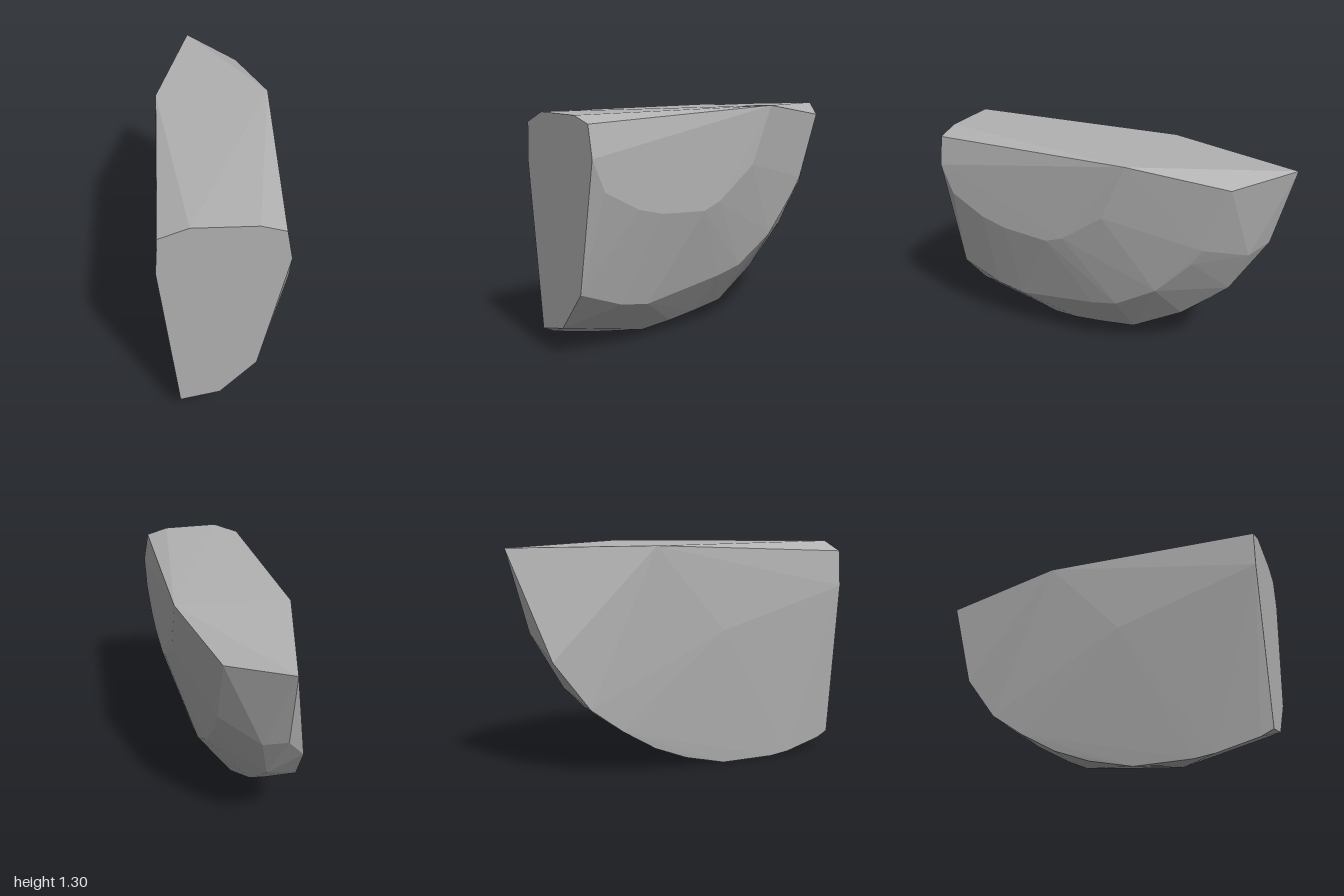
import * as THREE from 'three';
import { ConvexGeometry } from 'three/addons/geometries/ConvexGeometry.js';

// Corner points of the chipped stone, grouped by zone: [x, y, z]
const frontRim = [
  [-0.305, 1.24, 1], [-0.155, 1.3, 1], [0.165, 1.3, 1], [0.29, 1.265, 1], [0.32, 1.1, 1],
  [0.175, 0.39, 1], [-0.015, 0.165, 1], [-0.225, 0.11, 1], [-0.32, 1.03, 1],
];
const topRim = [
  [0.315, 1.305, -0.2], [0.17, 1.22, -0.74], [-0.125, 1.27, -1], [-0.32, 1.28, -0.22],
];
const leftBulge = [
  [0.32, 0.93, 0.93], [0.32, 0.82, 0.73], [0.32, 0.78, 0.58],
  [0.32, 0.76, 0.3], [0.32, 0.8, 0.19], [0.315, 0.98, -0.06],
];
const lowerBulge = [
  [0.175, 0.29, 0.75], [0.175, 0.26, 0.58], [0.18, 0.33, 0.08], [0.18, 0.365, -0.08],
  [0.18, 0.52, -0.33], [0.165, 0.74, -0.54], [0.17, 0.84, -0.6],
];
const keel = [
  [-0.04, 0.03, 0.47], [0, 0.06, 0.3], [0, 0.08, 0.12], [-0.16, 0.005, 0.45],
  [-0.02, 0.1, -0.1], [-0.06, 0.14, -0.2], [-0.06, 0.26, -0.4], [-0.11, 0.385, -0.57],
  [-0.08, 0.5, -0.68], [-0.02, 0.77, -0.8], [-0.135, 0.82, -0.88],
];
const flatSide = [
  [-0.23, 0.075, 0.93], [-0.24, 0.015, 0.7], [-0.24, 0, 0.58], [-0.24, 0, 0.25],
  [-0.245, 0.06, 0], [-0.255, 0.14, -0.2], [-0.27, 0.26, -0.4], [-0.275, 0.4, -0.59],
  [-0.245, 0.67, -0.79], [-0.32, 0.8, 0.2],
];

export function createModel() {
  const group = new THREE.Group();
  group.name = 'stoneChunk';
  const stone = new THREE.MeshStandardMaterial({ color: 0xb2b2b2 });
  stone.name = 'stone grey';

  // One faceted solid wrapped around all the corners
  const points = [frontRim, topRim, leftBulge, lowerBulge, keel, flatSide]
    .flat().map((p) => new THREE.Vector3(...p));
  const rock = new THREE.Mesh(new ConvexGeometry(points), stone);
  rock.name = 'rock';
  group.add(rock);
  return group;
}
